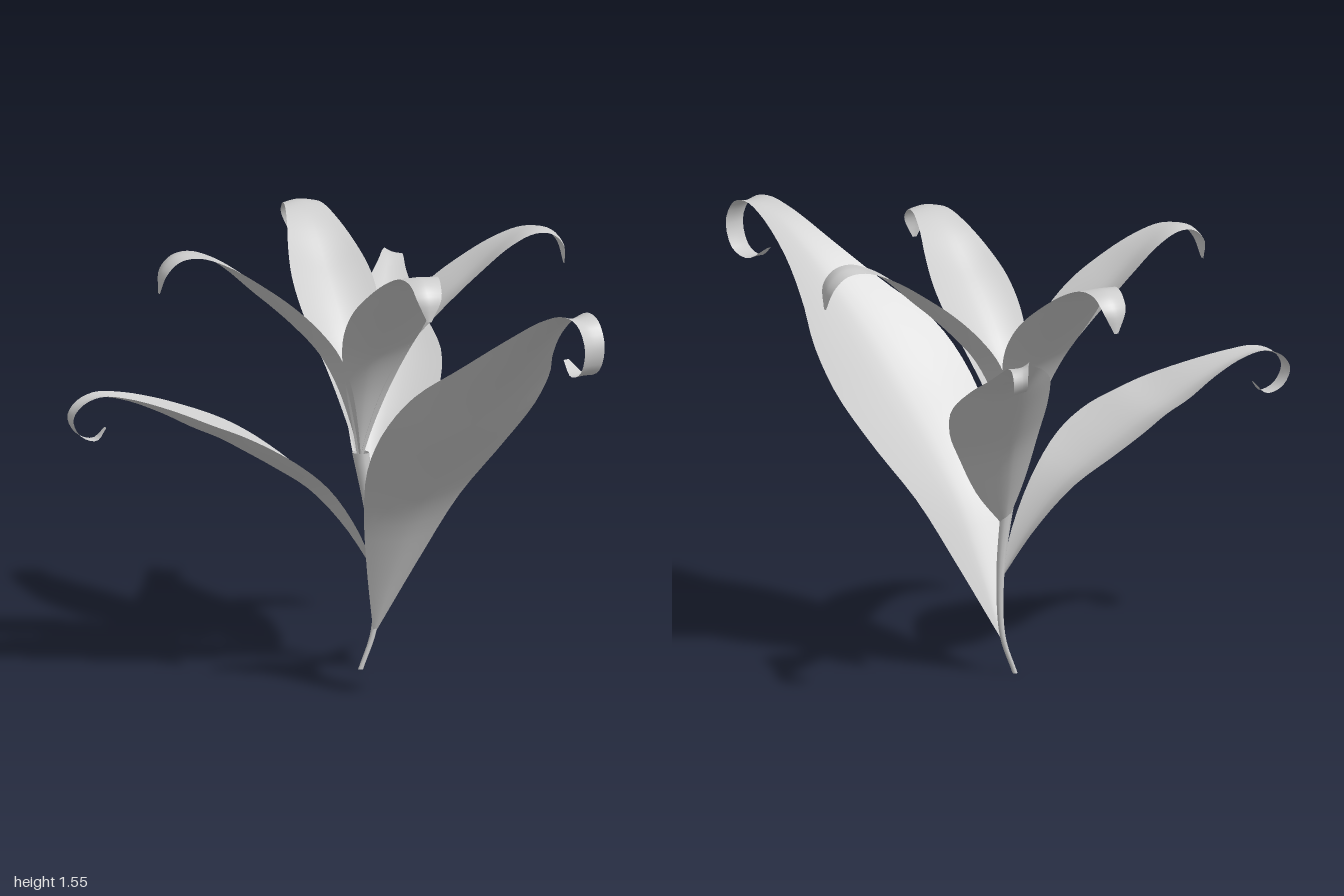
import * as THREE from 'three';

const material = new THREE.MeshStandardMaterial({ color: 0xcccccc, side: THREE.DoubleSide });

// Smooth sheet from a grid of points: pointAt(s, t) with s along and t across, both 0..1
function sheet(name, rows, cols, pointAt) {
  const positions = [], indices = [];
  for (let i = 0; i <= rows; i++) {
    for (let j = 0; j <= cols; j++) {
      positions.push(...pointAt(i / rows, j / cols).toArray());
      if (i < rows && j < cols) {
        const a = i * (cols + 1) + j, b = a + cols + 1;
        indices.push(a, a + 1, b, a + 1, b + 1, b);
      }
    }
  }
  const geometry = new THREE.BufferGeometry();
  geometry.setAttribute('position', new THREE.Float32BufferAttribute(positions, 3));
  geometry.setIndex(indices);
  geometry.computeVertexNormals();
  const mesh = new THREE.Mesh(geometry, material);
  mesh.name = name;
  return mesh;
}

// Cupped blade: each profile entry is [reach from the stem, height, half width].
// widths scales its two halves, roll tips it sideways, tipCup is the cupping at the tip.
function blade(name, base, toward, profile, { widths = [1, 1], roll = 0, tipCup = 0.05 } = {}) {
  const curve = new THREE.CatmullRomCurve3(profile.map((p) => new THREE.Vector3(...p)));
  const out = new THREE.Vector3(toward[0] - base[0], 0, toward[1] - base[1]).normalize();
  const side = new THREE.Vector3(-out.z, Math.tan(roll), out.x);
  return sheet(name, 48, 10, (s, t) => {
    const p = curve.getPoint(s);
    const d = curve.getTangent(s);
    const len = Math.hypot(d.x, d.y) || 1;
    const k = 2 * t - 1;
    const half = Math.max(p.z, 0.003);
    // The midrib sags below the raised edges, and the blade flattens to the tip
    const cup = THREE.MathUtils.lerp(0.26, tipCup, THREE.MathUtils.smoothstep(s, 0.5, 0.85));
    const sag = cup * half * (1 - Math.abs(k) ** 1.6);
    const reach = p.x + (sag * d.y) / len;
    const height = p.y - (sag * d.x) / len;
    return new THREE.Vector3(base[0], height, base[1])
      .addScaledVector(out, reach)
      .addScaledVector(side, half * k * widths[k < 0 ? 0 : 1]);
  });
}

export function createModel() {
  const group = new THREE.Group();

  // Stem: thin at the foot, flaring to the crown
  const path = new THREE.CatmullRomCurve3([
    [-0.275, 0, -0.025], [-0.242, 0.14, -0.06], [-0.235, 0.35, -0.065],
    [-0.25, 0.55, -0.055], [-0.278, 0.78, -0.03],
  ].map((p) => new THREE.Vector3(...p)));
  group.add(sheet('stem', 24, 10, (s, t) => {
    const a = t * Math.PI * 2, r = 0.009 + 0.021 * s ** 2;
    return path.getPoint(s).add(new THREE.Vector3(Math.cos(a) * r, 0, Math.sin(a) * r));
  }));

  // Large lower leaf with a curled tip
  group.add(blade('largeLeaf', [-0.24, -0.06], [0.97, 0.47], [
    [0, 0.13, 0.005], [0.1, 0.4, 0.12], [0.2, 0.63, 0.215], [0.33, 0.82, 0.3],
    [0.48, 0.99, 0.335], [0.62, 1.13, 0.305], [0.78, 1.25, 0.21], [0.95, 1.37, 0.13],
    [1.12, 1.47, 0.08], [1.22, 1.5, 0.06], [1.29, 1.48, 0.05], [1.33, 1.4, 0.045],
    [1.3, 1.31, 0.042], [1.23, 1.285, 0.035], [1.16, 1.33, 0.012],
  ], { widths: [1.02, 0.87] }));

  // Medium leaf at the front
  group.add(blade('frontLeaf', [-0.23, -0.06], [-0.975, 0.79], [
    [0, 0.34, 0.005], [0.1, 0.53, 0.08], [0.22, 0.69, 0.15], [0.35, 0.8, 0.215],
    [0.46, 0.87, 0.225], [0.56, 0.92, 0.2], [0.66, 0.96, 0.18], [0.79, 1.01, 0.12],
    [0.93, 1.05, 0.065], [1.03, 1.06, 0.045], [1.1, 1.03, 0.04], [1.13, 0.98, 0.036],
    [1.1, 0.92, 0.034], [1.04, 0.9, 0.028], [1.0, 0.94, 0.01],
  ], { widths: [1, 0.95] }));

  // Smaller leaf at the back, tipped sideways
  group.add(blade('backLeaf', [-0.25, -0.055], [-0.61, -0.8], [
    [0, 0.54, 0.005], [0.06, 0.7, 0.1], [0.15, 0.88, 0.17], [0.25, 1.01, 0.21],
    [0.37, 1.13, 0.21], [0.47, 1.2, 0.155], [0.58, 1.25, 0.1], [0.69, 1.3, 0.06],
    [0.76, 1.325, 0.045], [0.81, 1.32, 0.035], [0.83, 1.28, 0.03], [0.81, 1.24, 0.028],
    [0.77, 1.23, 0.022], [0.745, 1.265, 0.01],
  ], { widths: [0.62, 1.02], roll: -0.3 }));

  // Crown of four leaves with drooping, pointed tips: [angle, widths of the two halves]
  const crown = [
    [0, 0.77, 0.012], [0.02, 0.88, 0.04], [0.06, 1.03, 0.085], [0.12, 1.16, 0.125],
    [0.2, 1.26, 0.148], [0.3, 1.355, 0.15], [0.4, 1.43, 0.13], [0.52, 1.505, 0.095],
    [0.62, 1.54, 0.07], [0.69, 1.53, 0.056], [0.735, 1.485, 0.045], [0.75, 1.41, 0.008],
  ];
  const centre = [-0.282, -0.03];
  [
    [0.7, [1.12, 0.85]], [2.25, [1, 0.95]], [3.85, [1, 0.95]], [5.445, [0.9, 1.08]],
  ].forEach(([angle, widths], i) => {
    const toward = [centre[0] + Math.cos(angle), centre[1] + Math.sin(angle)];
    group.add(blade(`crownLeaf${i + 1}`, centre, toward, crown, { widths, tipCup: -0.2 }));
  });
  return group;
}
